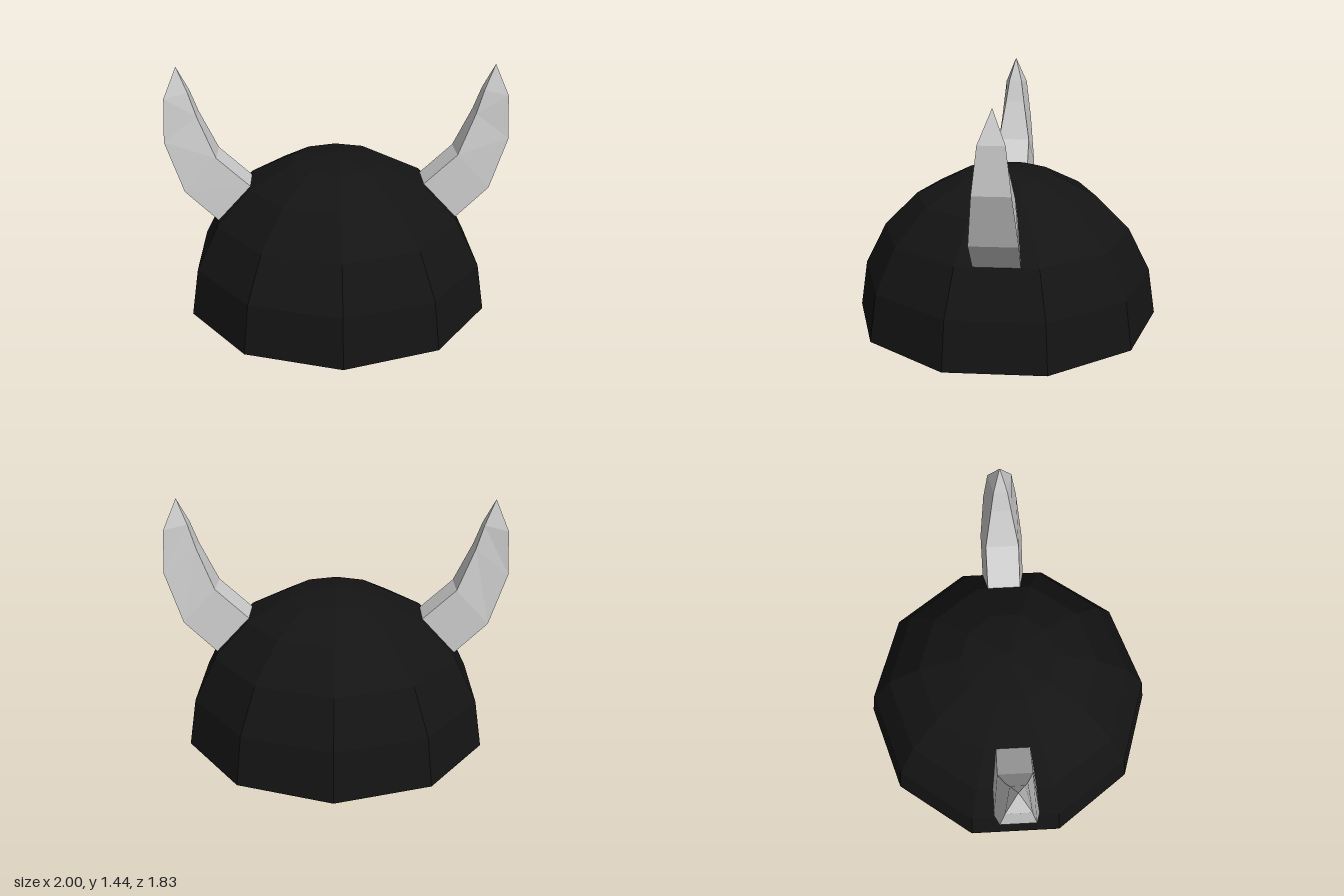
import * as THREE from 'three';

const RADIUS = 0.917;

// Horn cross-sections: inner edge [x, y, half depth], outer edge [x, y, half depth]
const SECTIONS = [
  [[0.513, 0.742, 0.1], [0.706, 0.54, 0.13]],
  [[0.706, 0.92, 0.1], [0.895, 0.725, 0.13]],
  [[0.81, 1.16, 0.06], [1.0, 1.02, 0.1]],
  [[0.855, 1.295, 0.04], [0.99, 1.27, 0.07]],
];
const TIP = [0.92, 1.44, 0];

// Four-sided horn lofted through the sections and closed to a point; side is 1 or -1
function hornGeometry(side) {
  const points = [];
  for (const [[ix, iy, iz], [ox, oy, oz]] of SECTIONS) {
    points.push([ix, iy, iz], [ox, oy, oz], [ox, oy, -oz], [ix, iy, -iz]);
  }
  points.push(TIP);
  const index = [];
  const tri = (a, b, c) => index.push(...(side > 0 ? [a, b, c] : [a, c, b]));
  const last = SECTIONS.length - 1;
  for (let s = 0; s <= last; s++) {
    for (let k = 0; k < 4; k++) {
      const a = s * 4 + k;
      const b = s * 4 + (k + 1) % 4;
      if (s === last) {
        tri(a, b, points.length - 1);
      } else {
        tri(a, b, b + 4);
        tri(a, b + 4, a + 4);
      }
    }
  }
  const geometry = new THREE.BufferGeometry();
  const flat = points.flatMap(([x, y, z]) => [x * side, y, z]);
  geometry.setAttribute('position', new THREE.Float32BufferAttribute(flat, 3));
  geometry.setIndex(index);
  const faceted = geometry.toNonIndexed();
  faceted.computeVertexNormals();
  return faceted;
}

export function createModel() {
  const group = new THREE.Group();
  group.name = 'hornedHelmet';

  const black = new THREE.MeshStandardMaterial({
    color: 0x141414, flatShading: true, side: THREE.DoubleSide,
  });
  const grey = new THREE.MeshStandardMaterial({
    color: 0xcccccc, flatShading: true, side: THREE.DoubleSide,
  });

  // Open ten-sided dome with corners at the front and back
  const dome = new THREE.Mesh(
    new THREE.SphereGeometry(RADIUS, 10, 5, Math.PI / 2, Math.PI * 2, 0, Math.PI / 2),
    black,
  );
  dome.name = 'dome';
  group.add(dome);

  // Mirrored pair of horns, rooted on the side facets
  for (const side of [1, -1]) {
    const horn = new THREE.Mesh(hornGeometry(side), grey);
    horn.name = side > 0 ? 'leftHorn' : 'rightHorn';
    group.add(horn);
  }
  return group;
}
